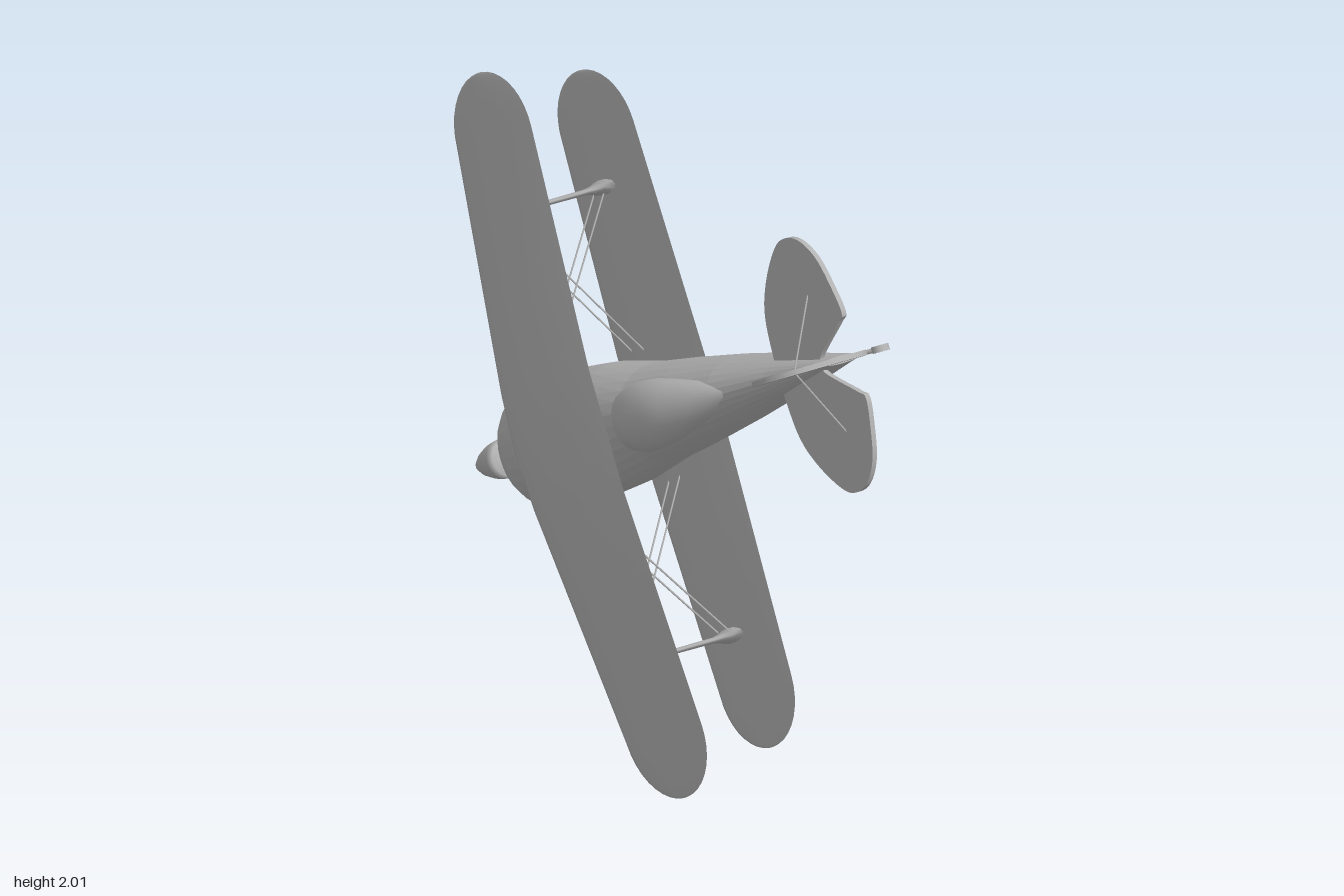
import * as THREE from 'three';

const grey = new THREE.MeshStandardMaterial({ color: 0xb2b2b2 });
grey.name = 'grey';
const V3 = (x, y, z) => new THREE.Vector3(x, y, z);

// Aircraft frame: x runs nose to tail, y across the span, z up.
function add(parent, name, geometry) {
  const mesh = new THREE.Mesh(geometry, grey);
  mesh.name = name;
  parent.add(mesh);
  return mesh;
}

// Skin over closed rings of points, capped at both ends, faces turned outward
function loft(rings, flat = false) {
  const n = rings[0].length, pos = [], idx = [];
  rings.forEach(r => r.forEach(p => pos.push(p.x, p.y, p.z)));
  for (let i = 0; i < rings.length - 1; i++)
    for (let j = 0; j < n; j++) {
      const a = i * n + j, b = i * n + (j + 1) % n;
      idx.push(a, b, b + n, a, b + n, a + n);
    }
  const last = (rings.length - 1) * n;
  for (let j = 1; j < n - 1; j++) idx.push(0, j + 1, j, last, last + j, last + j + 1);
  let volume = 0;
  const at = i => V3(pos[3 * i], pos[3 * i + 1], pos[3 * i + 2]);
  for (let i = 0; i < idx.length; i += 3)
    volume += at(idx[i]).dot(at(idx[i + 1]).cross(at(idx[i + 2])));
  if (volume < 0) idx.reverse();
  let g = new THREE.BufferGeometry();
  g.setAttribute('position', new THREE.Float32BufferAttribute(pos, 3));
  g.setIndex(idx);
  if (flat) g = g.toNonIndexed();
  g.computeVertexNormals();
  return g;
}

// Rounded body from stations [x, top, bottom, halfWidth]
function body(stations, y = 0, sides = 24, flat = false) {
  return loft(stations.map(([x, top, bottom, w]) =>
    Array.from({ length: sides }, (_, j) => {
      const a = j / sides * Math.PI * 2;
      return V3(x, y + w * Math.cos(a), (top + bottom) / 2 + (top - bottom) / 2 * Math.sin(a));
    })), flat);
}

function bar(parent, name, a, b, r = 0.004, sides = 6) {
  const m = add(parent, name, new THREE.CylinderGeometry(r, r, a.distanceTo(b), sides));
  m.position.copy(a).add(b).multiplyScalar(0.5);
  m.quaternion.setFromUnitVectors(V3(0, 1, 0), b.clone().sub(a).normalize());
  return m;
}

// Aerofoil section: [fraction of chord, half thickness]
const foil = [[0, 0], [0.04, 0.45], [0.15, 0.85], [0.32, 1], [0.6, 0.75], [0.85, 0.3], [1, 0.03]];

// Tapered wing with rounded tips; zAt gives the height of the mean surface
function wing({ span, tip, rootLead, tipLead, trail, thick, zAt }) {
  const half = [[0, 1], [0.18, 1], [span * 0.5, 1], [span * 0.8, 1]];
  for (let i = 0; i <= 9; i++) {
    const a = i / 9 * 1.52;
    half.push([span + tip * Math.sin(a), Math.cos(a)]);
  }
  const all = [...half.slice(1).reverse().map(([y, k]) => [-y, k]), ...half];
  return loft(all.map(([y, k]) => {
    const t = Math.min(1, Math.abs(y) / span);
    const lead = rootLead + (tipLead - rootLead) * t;
    const mid = (lead + trail) / 2, chord = (trail - lead) * k;
    const h = thick * (1 - 0.5 * t) * Math.sqrt(k) / 2;
    const point = (f, s) => {
      const x = mid + (f - 0.5) * chord;
      return V3(x, y, zAt(x, Math.abs(y)) + s * h);
    };
    return [...foil.map(([f, s]) => point(f, s)),
      ...foil.slice(1).reverse().map(([f, s]) => point(f, -s))];
  }));
}

// Thin plate from an outline
function plate(points, thickness) {
  const s = new THREE.Shape();
  s.moveTo(...points[0]);
  s.splineThru(points.slice(1).map(p => new THREE.Vector2(...p)));
  const g = new THREE.ExtrudeGeometry(s, { depth: thickness, bevelEnabled: false, curveSegments: 32 });
  return g.translate(0, 0, -thickness / 2);
}

export function createModel() {
  const model = new THREE.Group();
  model.name = 'biplane';
  const plane = new THREE.Group();
  plane.name = 'airframe';
  plane.rotation.z = 28.5 * Math.PI / 180;
  plane.position.set(-0.055, 1.101, 0);
  model.add(plane);

  // Fuselage, canopy and spinner
  add(plane, 'fuselage', body([
    [-0.80, 0.17, 0.06, 0.09], [-0.785, 0.19, 0.02, 0.135], [-0.74, 0.21, -0.02, 0.168],
    [-0.66, 0.22, -0.06, 0.19], [-0.5, 0.215, -0.11, 0.2], [-0.3, 0.20, -0.15, 0.185],
    [-0.1, 0.185, -0.16, 0.15], [0.1, 0.175, -0.16, 0.13], [0.35, 0.145, -0.145, 0.1],
    [0.6, 0.09, -0.125, 0.062], [0.86, 0.04, -0.1, 0.012]], 0, 28, true));
  add(plane, 'canopy', body([
    [-0.115, 0.17, 0.14, 0.03], [-0.1, 0.2, 0.11, 0.065], [-0.06, 0.23, 0.09, 0.09],
    [0.02, 0.246, 0.08, 0.107], [0.12, 0.244, 0.08, 0.102], [0.2, 0.225, 0.08, 0.085],
    [0.3, 0.185, 0.08, 0.06], [0.42, 0.13, 0.08, 0.02]]));
  const spinner = add(plane, 'spinner', new THREE.LatheGeometry(
    [[0, 0], [0.057, 0], [0.06, 0.03], [0.054, 0.07], [0.039, 0.12], [0.02, 0.16], [0, 0.178]]
      .map(p => new THREE.Vector2(...p)), 24));
  spinner.rotation.z = Math.PI / 2;
  spinner.position.set(-0.785, 0, 0.16);

  // Wings
  const upperZ = (x, y) => 0.30 - 0.08 * (x + 0.25) - 0.053 * Math.max(0, y - 0.18);
  const lowerZ = (x, y) => -0.085 - 0.08 * (x + 0.2) + 0.022 * y;
  add(plane, 'upperWing', wing({ span: 0.92, tip: 0.196, rootLead: -0.49, tipLead: -0.405,
    trail: -0.02, thick: 0.04, zAt: upperZ }));
  add(plane, 'lowerWing', wing({ span: 0.855, tip: 0.187, rootLead: -0.42, tipLead: -0.355,
    trail: 0.015, thick: 0.034, zAt: lowerZ }));

  // Tail surfaces
  const edge = [[0.615, 0.17], [0.66, 0.27], [0.74, 0.36], [0.80, 0.39], [0.87, 0.375],
    [0.93, 0.31], [0.965, 0.21], [0.98, 0.13], [0.95, 0.105], [0.83, 0.03]];
  const tail = plate([[0.6, 0], ...edge, [0.82, 0], ...edge.map(([x, y]) => [x, -y]).reverse(),
    [0.6, 0]], 0.016);
  const tp = tail.attributes.position;
  for (let i = 0; i < tp.count; i++) tp.setZ(i, tp.getZ(i) + 0.03 - 0.1 * (tp.getX(i) - 0.6));
  tail.computeVertexNormals();
  add(plane, 'tailplane', tail);
  const fin = add(plane, 'finAndRudder', plate([[0.55, 0.09], [0.62, 0.125], [0.72, 0.207],
    [0.79, 0.235], [0.85, 0.24], [0.92, 0.212], [0.965, 0.16], [0.995, 0.07], [0.985, 0],
    [0.955, -0.055], [0.89, -0.1], [0.82, -0.1], [0.6, -0.02]], 0.016));
  fin.rotation.x = Math.PI / 2;

  // Tail wheel
  bar(plane, 'tailWheelStrut', V3(0.82, 0, -0.095), V3(0.89, 0, -0.145), 0.007);
  add(plane, 'tailWheel', new THREE.CylinderGeometry(0.027, 0.027, 0.02, 18))
    .position.set(0.893, 0, -0.15);

  // Chin scoop and oil cooler
  const scoop = add(plane, 'chinScoop', new THREE.BoxGeometry(0.07, 0.08, 0.03));
  scoop.position.set(-0.67, 0, -0.06);
  scoop.rotation.y = 0.3;
  add(plane, 'oilCooler', body([[-0.5, -0.1, -0.145, 0.04], [-0.47, -0.1, -0.165, 0.045],
    [-0.38, -0.1, -0.165, 0.035], [-0.3, -0.12, -0.15, 0.01]], 0, 14));

  for (const s of [1, -1]) {
    const side = s > 0 ? 'right' : 'left';
    const g = new THREE.Group();
    g.name = side + 'Rigging';
    plane.add(g);

    // Interplane strut, flared at both ends
    const ends = [[0, 0.075, 0.028], [0.06, 0.05, 0.016], [0.16, 0.026, 0.009], [0.5, 0.022, 0.008],
      [0.84, 0.026, 0.009], [0.94, 0.05, 0.016], [1, 0.075, 0.028]];
    add(g, 'interplaneStrut', loft(ends.map(([t, a, b]) => Array.from({ length: 12 }, (_, j) => {
      const q = j / 12 * Math.PI * 2;
      return V3(-0.225 - 0.07 * t + a * Math.cos(q), s * (0.69 + b * Math.sin(q)), -0.066 + 0.34 * t);
    }))));

    // Flying and landing wires
    for (const x of [-0.31, -0.25]) {
      bar(g, 'flyingWire', V3(x, s * 0.17, -0.08), V3(x, s * 0.68, 0.265), 0.003);
      bar(g, 'landingWire', V3(x - 0.03, s * 0.15, 0.29), V3(x + 0.04, s * 0.68, -0.06), 0.003);
    }

    // Cabane struts
    bar(g, 'cabaneStrut', V3(-0.46, s * 0.09, 0.17), V3(-0.39, s * 0.14, 0.305), 0.006);
    bar(g, 'cabaneStrut', V3(-0.26, s * 0.09, 0.16), V3(-0.38, s * 0.14, 0.305), 0.006);
    bar(g, 'cabaneStrut', V3(-0.26, s * 0.09, 0.16), V3(-0.18, s * 0.14, 0.29), 0.006);

    // Tailplane brace
    bar(g, 'tailBrace', V3(0.843, 0, 0.13), V3(0.843, s * 0.22, 0.006), 0.003);

    // Wheel spat, wheel, leg and braces
    add(g, 'wheelSpat', body([
      [-0.645, -0.225, -0.25, 0.012], [-0.625, -0.205, -0.272, 0.032], [-0.58, -0.19, -0.293, 0.045],
      [-0.52, -0.184, -0.3, 0.05], [-0.45, -0.195, -0.295, 0.043], [-0.39, -0.21, -0.285, 0.03],
      [-0.33, -0.228, -0.27, 0.012]], s * 0.265, 18));
    add(g, 'wheel', new THREE.CylinderGeometry(0.056, 0.056, 0.036, 24))
      .position.set(-0.53, s * 0.265, -0.27);
    add(g, 'landingLeg', loft([[-0.49, 0.262, -0.215, 0.03], [-0.43, 0.09, -0.1, 0.11]]
      .map(([x, y, z, a]) => Array.from({ length: 12 }, (_, j) => {
        const q = j / 12 * Math.PI * 2;
        return V3(x + a * Math.cos(q), s * y, z + 0.013 * Math.sin(q));
      }))));
    bar(g, 'axleBrace', V3(-0.5, s * 0.25, -0.24), V3(-0.46, 0, -0.185), 0.007);
    bar(g, 'centreBrace', V3(-0.46, 0, -0.19), V3(-0.42, s * 0.05, -0.12), 0.007);
  }

  // Stand the lowest point on the ground
  model.updateMatrixWorld(true);
  plane.position.y -= new THREE.Box3().setFromObject(model, true).min.y;
  return model;
}
